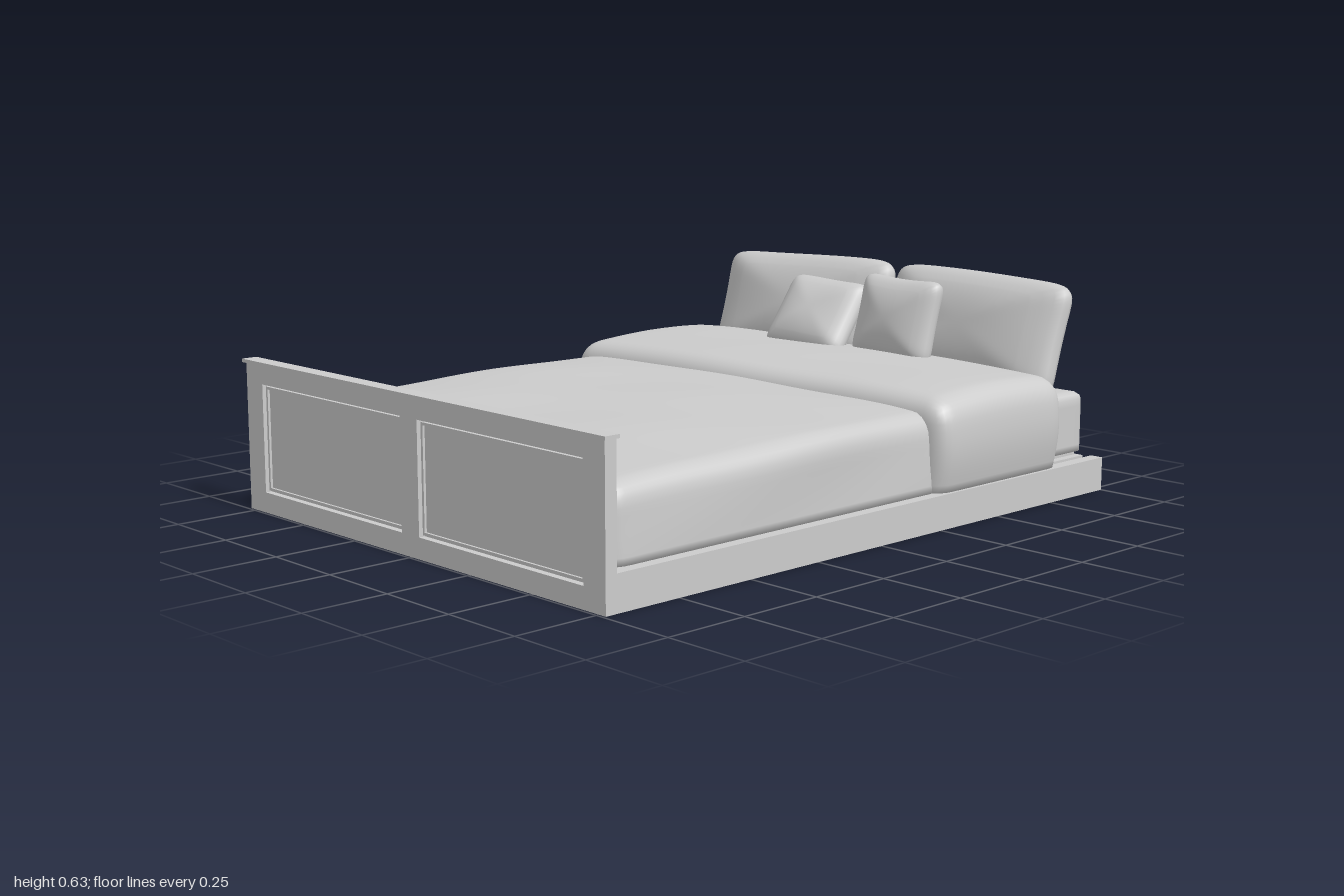
import * as THREE from 'three';
import { mergeVertices } from 'three/addons/utils/BufferGeometryUtils.js';

const material = new THREE.MeshStandardMaterial({ color: 0xcccccc });

function add(parent, name, geometry, x = 0, y = 0, z = 0) {
  const mesh = new THREE.Mesh(geometry, material);
  mesh.name = name;
  mesh.position.set(x, y, z);
  parent.add(mesh);
  return mesh;
}

// Box given by its extents on each axis
function slab(parent, name, [x0, x1], [y0, y1], [z0, z1]) {
  return add(parent, name, new THREE.BoxGeometry(x1 - x0, y1 - y0, z1 - z0),
    (x0 + x1) / 2, (y0 + y1) / 2, (z0 + z1) / 2);
}

// Moves every vertex by a rule, then smooths the normals across the whole surface
function deform(geometry, rule) {
  geometry.deleteAttribute('uv');
  geometry.deleteAttribute('normal');
  const merged = mergeVertices(geometry, 1e-5);
  const pos = merged.attributes.position;
  const p = new THREE.Vector3();
  for (let i = 0; i < pos.count; i++) {
    rule(p.fromBufferAttribute(pos, i));
    pos.setXYZ(i, p.x, p.y, p.z);
  }
  merged.computeVertexNormals();
  return merged;
}

// Cloth block: square bottom, rounded sides and top, then shaped by a further rule
function softBlock(halfW, [y0, y1], [z0, z1], r, shape = () => {}) {
  const h = y1 - y0, d = z1 - z0, step = 0.022;
  const geometry = new THREE.BoxGeometry(2 * halfW, h, d,
    Math.ceil(2 * halfW / step), Math.ceil(h / step), Math.ceil(d / step));
  geometry.translate(0, (y0 + y1) / 2, (z0 + z1) / 2);
  const inner = new THREE.Vector3();
  return deform(geometry, (p) => {
    inner.set(
      THREE.MathUtils.clamp(p.x, -halfW + r, halfW - r),
      Math.min(p.y, y1 - r),
      THREE.MathUtils.clamp(p.z, z0 + r, z1 - r));
    p.sub(inner);
    if (p.lengthSq() > 0) {
      if (p.length() > r) p.setLength(r);
      else p.setLength(Math.max(Math.abs(p.x), Math.abs(p.y), Math.abs(p.z)));
    }
    p.add(inner);
    shape(p, (p.y - y0) / h);
  });
}

// Cushion: rounded-rectangle outline with a lens-shaped thickness and soft dents
function cushion(halfW, halfH, halfT, seed) {
  const n = 9, m = 2.1;
  return deform(new THREE.BoxGeometry(2, 2, 2, 32, 24, 8), (p) => {
    const outline = Math.abs(p.x) ** n + Math.abs(p.y) ** n;
    p.multiplyScalar((outline ** (m / n) + Math.abs(p.z) ** m) ** (-1 / m));
    const dent = 1 + 0.05 * Math.sin(3 * p.x + seed) * Math.cos(2.5 * p.y + 2 * seed);
    const sag = 0.03 * Math.sin(2.2 * p.x + seed);
    p.set(
      p.x * halfW * (1 - 0.025 * (1 - p.y * p.y)),
      (p.y + sag) * halfH * (1 + 0.02 * p.x * p.x),
      p.z * halfT * dent);
  });
}

function rectangle(path, x0, x1, y0, y1) {
  path.moveTo(x0, y0);
  path.lineTo(x1, y0);
  path.lineTo(x1, y1);
  path.lineTo(x0, y1);
  path.closePath();
  return path;
}

// Flat rectangular frame with rectangular openings
function frame(outer, openings, depth) {
  const shape = rectangle(new THREE.Shape(), ...outer);
  for (const o of openings) shape.holes.push(rectangle(new THREE.Path(), ...o));
  return new THREE.ExtrudeGeometry(shape, { depth, bevelEnabled: false });
}

function makeFootboard() {
  const group = new THREE.Group();
  group.name = 'footboard';
  const openings = [[-0.7, -0.04, 0.06, 0.375], [0.035, 0.695, 0.06, 0.375]];
  add(group, 'footboardFrame', frame([-0.78, 0.775, 0, 0.43], openings, 0.02), 0, 0, 0.972);
  slab(group, 'footboardBack', [-0.78, 0.775], [0, 0.43], [0.955, 0.972]);
  slab(group, 'footboardCap', [-0.79, 0.785], [0.43, 0.44], [0.952, 1]);
  // Stepped moulding inside each opening
  for (const [x0, x1, y0, y1] of openings) {
    const i = 0.006, j = 0.014;
    add(group, 'panelMoulding', frame([x0 + i, x1 - i, y0 + i, y1 - i],
      [[x0 + j, x1 - j, y0 + j, y1 - j]], 0.012), 0, 0, 0.972);
    slab(group, 'footboardPanel', [x0 + j, x1 - j], [y0 + j, y1 - j], [0.97, 0.977]);
  }
  return group;
}

export function createModel() {
  const bed = new THREE.Group();
  bed.name = 'bed';

  // Wooden frame
  bed.add(makeFootboard());
  slab(bed, 'leftRail', [0.735, 0.775], [0, 0.1], [-1, 0.955]);
  slab(bed, 'rightRail', [-0.785, -0.745], [0, 0.1], [-1, 0.955]);
  slab(bed, 'base', [-0.72, 0.715], [0.01, 0.1], [-0.985, 0.955]);

  // Mattress
  add(bed, 'mattress', softBlock(0.71, [0.115, 0.295], [-0.99, 0.9], 0.025));
  slab(bed, 'mattressUnderside', [-0.69, 0.69], [0.1, 0.12], [-0.975, 0.88]);

  // Duvet, crowned along its length with gentle waves
  add(bed, 'duvet', softBlock(0.74, [0.1, 0.3], [-0.3, 0.945], 0.055, (p, t) => {
    const crown = 0.042 * (1 - ((p.z - 0.1) / 0.86) ** 2) * (1 - 0.5 * (p.x / 0.74) ** 4);
    const wave = 0.003 * Math.sin(9 * p.x + 4 * p.z) * Math.sin(7 * p.z + 1);
    p.y += t * (crown + wave);
    p.x *= 1 - 0.008 * (1 + Math.sin(6 * p.z + 11 * p.y)) * t;
  }));

  // Turned-back end of the duvet, bulging over the rails
  add(bed, 'duvetFold', softBlock(0.772, [0.1, 0.358], [-0.808, -0.24], 0.06, (p, t) => {
    const crown = 0.034 * (1 - ((p.z + 0.57) / 0.36) ** 2) * (1 - 0.6 * (p.x / 0.78) ** 4);
    p.y += t * (crown + 0.002 * Math.sin(8 * p.x + 9 * p.z));
    p.x *= 0.99 + 0.025 * Math.sin(Math.PI * Math.min(1, Math.max(0, t)));
  }));

  // Cushions: name, half sizes, position, backward lean, roll, yaw
  const cushions = [
    ['rightPillow', [0.357, 0.172, 0.082], [-0.365, 0.458, -0.898], -0.3, 0.02, 0.03],
    ['leftPillow', [0.352, 0.174, 0.082], [0.35, 0.458, -0.898], -0.3, -0.02, -0.03],
    ['rightSmallCushion', [0.157, 0.13, 0.06], [-0.145, 0.465, -0.728], -0.65, 0.02, 0.05],
    ['leftSmallCushion', [0.16, 0.13, 0.06], [0.187, 0.485, -0.73], -0.25, -0.02, -0.05],
  ];
  cushions.forEach(([name, size, position, lean, roll, yaw], i) => {
    const mesh = add(bed, name, cushion(...size, 0.6 + 1.3 * i), ...position);
    mesh.rotation.set(lean, yaw, roll);
  });

  return bed;
}
